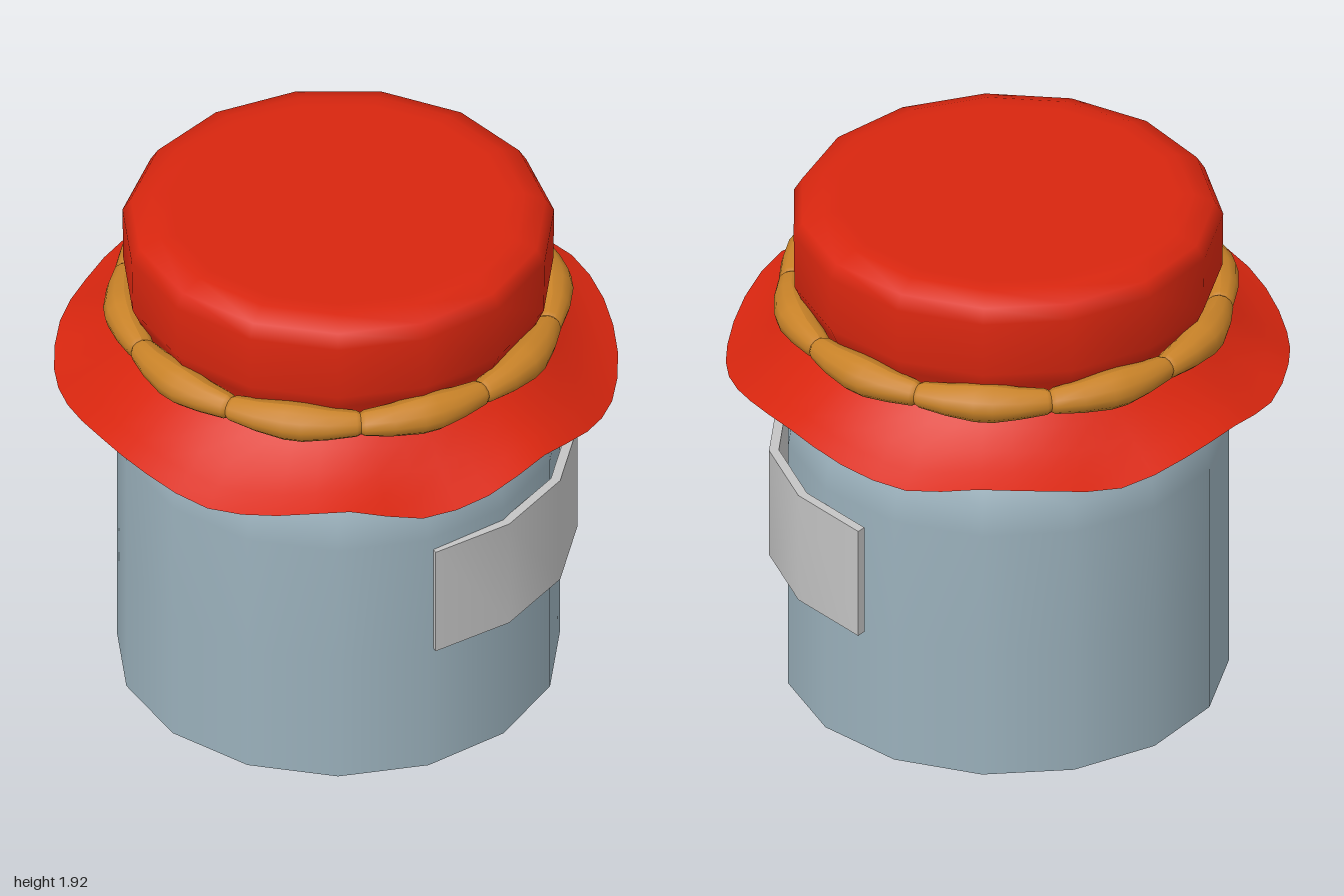
import * as THREE from 'three';
import { toCreasedNormals } from 'three/addons/utils/BufferGeometryUtils.js';

const SIDES = 15;

function material(name, color, side = THREE.FrontSide) {
  const m = new THREE.MeshStandardMaterial({ color, side });
  m.name = name;
  return m;
}

// Revolved profile with one corner pointing to the back
function turned(profile) {
  const points = profile.map(([r, y]) => new THREE.Vector2(r, y));
  return new THREE.LatheGeometry(points, SIDES, Math.PI);
}

// Wavy cloth skirt flaring out from the tied neck
function skirtGeometry() {
  const heights = [1.28, 1.31, 1.25, 1.27, 1.32, 1.27, 1.225, 1.25, 1.3, 1.32, 1.28, 1.25,
    1.29, 1.28, 1.25, 1.29, 1.31, 1.27, 1.275, 1.25, 1.28, 1.31, 1.29, 1.25];
  const hem = new THREE.CatmullRomCurve3(heights.map((y, i) => {
    const a = (i / heights.length) * Math.PI * 2;
    const r = 0.995 - 0.1 * Math.max(0, y - 1.27);
    return new THREE.Vector3(Math.sin(a) * r, y, Math.cos(a) * r);
  }), true);
  const segments = 48, rings = 4, positions = [], index = [];
  for (let i = 0; i < segments; i++) {
    const end = hem.getPoint(i / segments);
    const a = Math.atan2(end.x, end.z);
    const start = new THREE.Vector3(0.005 + Math.sin(a) * 0.69, 1.475, -0.015 + Math.cos(a) * 0.69);
    for (let j = 0; j <= rings; j++) {
      const t = j / rings;
      const p = start.clone().lerp(end, t);
      positions.push(p.x, p.y - 0.02 * Math.sin(Math.PI * t), p.z);
    }
  }
  const row = rings + 1;
  for (let i = 0; i < segments; i++) {
    for (let j = 0; j < rings; j++) {
      const a = i * row + j, b = ((i + 1) % segments) * row + j;
      index.push(a, a + 1, b, b, a + 1, b + 1);
    }
  }
  const g = new THREE.BufferGeometry();
  g.setAttribute('position', new THREE.Float32BufferAttribute(positions, 3));
  g.setIndex(index);
  g.computeVertexNormals();
  return g;
}

// One plump strand of the cord, bent around the neck
function strandGeometry() {
  const profile = [[0, -1], [0.035, -0.98], [0.05, -0.88], [0.062, -0.5], [0.074, -0.1],
    [0.074, 0.15], [0.062, 0.5], [0.05, 0.88], [0.035, 0.98], [0, 1]];
  const g = new THREE.LatheGeometry(profile.map(([r, y]) => new THREE.Vector2(r, y)), 12);
  const p = g.attributes.position;
  for (let i = 0; i < p.count; i++) {
    const a = p.getY(i) * 0.335, r = 0.757 + p.getX(i);
    p.setXYZ(i, Math.sin(a) * r, p.getZ(i) * 0.92, Math.cos(a) * r);
  }
  g.computeVertexNormals();
  return g;
}

// Curved label plate wrapped around the left side
function labelGeometry() {
  const steps = 5, outer = [], inner = [];
  for (let i = 0; i <= steps; i++) {
    const t = i / steps;
    const a = THREE.MathUtils.degToRad(37.5 + 110.5 * t);
    const r = 0.8 + 0.043 * Math.min(1, t * 2);
    outer.push(new THREE.Vector2(Math.sin(a) * r, -Math.cos(a) * r));
    inner.unshift(new THREE.Vector2(Math.sin(a) * (r - 0.035), -Math.cos(a) * (r - 0.035)));
  }
  const g = new THREE.ExtrudeGeometry(new THREE.Shape([...outer, ...inner]), { depth: 0.43, bevelEnabled: false });
  g.rotateX(-Math.PI / 2);
  return toCreasedNormals(g, 0.6);
}

export function createModel() {
  const glass = material('blue grey glass', 0x9ab0bb);
  const red = material('red cloth', 0xd8260f, THREE.DoubleSide);
  const gold = material('golden cord', 0xc88228);
  const paper = material('pale grey paper', 0xc4c4c4);

  const model = new THREE.Group();
  model.name = 'clothCoveredJar';
  const add = (name, geometry, mat, parent = model) => {
    const mesh = new THREE.Mesh(geometry, mat);
    mesh.name = name;
    parent.add(mesh);
    return mesh;
  };
  const centre = (object, y = 0) => object.position.set(0.005, y, -0.015);

  // Jar body, shoulder and neck
  centre(add('jarBody', turned([[0.785, 0], [0.785, 0.5], [0.785, 0.98], [0.77, 1.08], [0.725, 1.19],
    [0.645, 1.3], [0.59, 1.35], [0.58, 1.4], [0.58, 1.55]]), glass));
  centre(add('jarBase', turned([[0, 0], [0.785, 0]]), glass));

  // Cloth cover over the lid
  centre(add('lidCover', turned([[0.69, 1.47], [0.735, 1.57], [0.762, 1.63], [0.765, 1.84],
    [0.735, 1.89], [0.66, 1.92], [0.6, 1.92], [0, 1.92]]), red));
  add('clothSkirt', skirtGeometry(), red);

  // Cord of ten strands
  const cord = new THREE.Group();
  cord.name = 'cord';
  centre(cord, 1.515);
  model.add(cord);
  const strand = strandGeometry();
  for (let i = 0; i < 10; i++) {
    add('cordStrand', strand, gold, cord).rotation.y = (i / 10) * Math.PI * 2;
  }

  // Label
  centre(add('label', labelGeometry(), paper), 0.5);

  return model;
}
